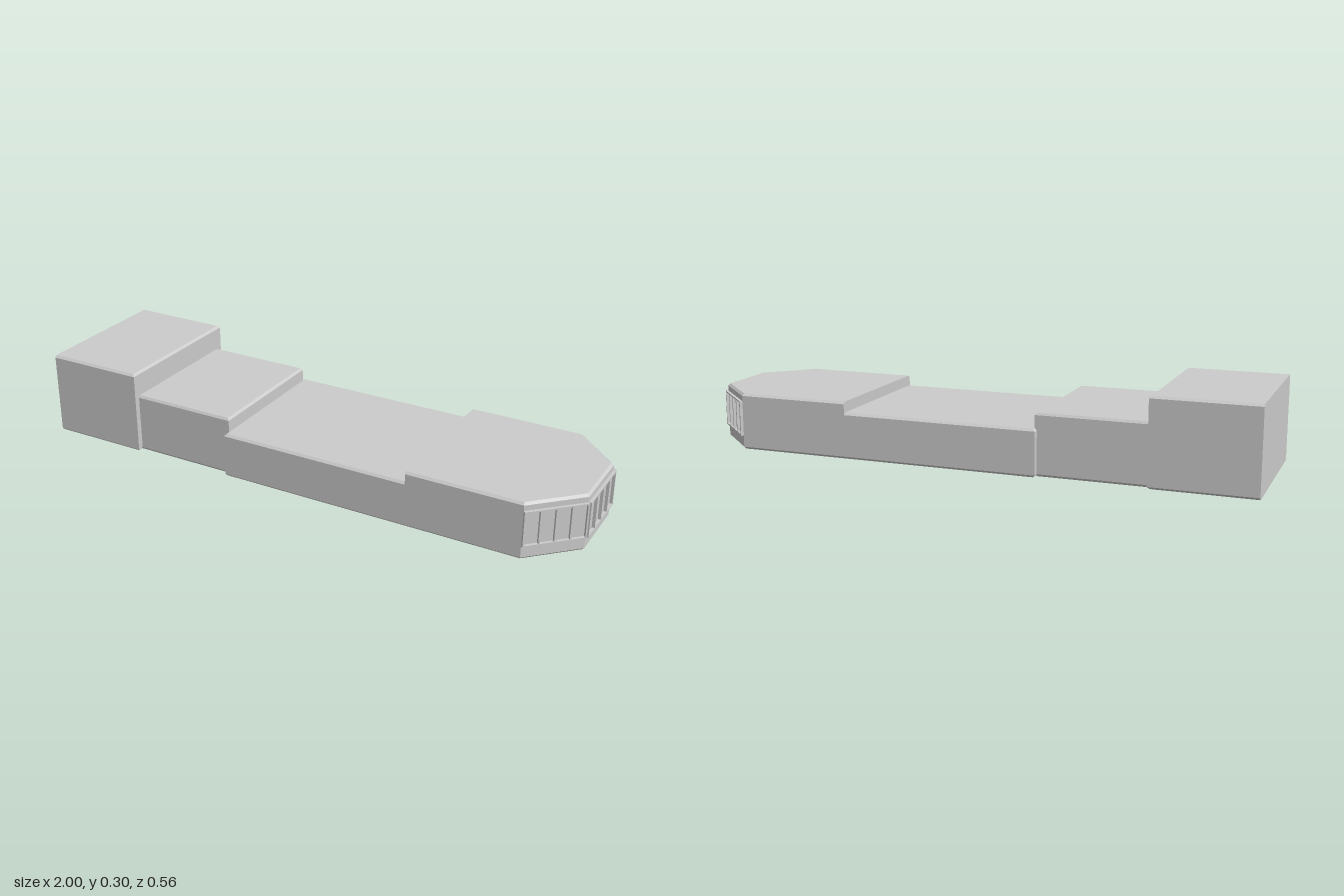
import * as THREE from 'three';

const material = new THREE.MeshStandardMaterial({ color: 0xcccccc, flatShading: true });

// Moves each edge of a convex plan outline [x, z] inward by its own distance.
function insetOutline(points, insets) {
  const n = points.length;
  const lines = points.map((p, i) => {
    const q = points[(i + 1) % n];
    const length = Math.hypot(q[0] - p[0], q[1] - p[1]);
    const nx = -(q[1] - p[1]) / length, nz = (q[0] - p[0]) / length;
    return { nx, nz, d: nx * p[0] + nz * p[1] - insets[i] };
  });
  return lines.map((b, i) => {
    const a = lines[(i + n - 1) % n];
    const det = a.nx * b.nz - a.nz * b.nx;
    return [(a.d * b.nz - b.d * a.nz) / det, (a.nx * b.d - b.nx * a.d) / det];
  });
}

// Upright block with chamfered top and bottom rims; an inset of 0 leaves that side square.
function chamferedBlock(name, outline, insets, height, chamfer) {
  const inner = insetOutline(outline, insets);
  const rings = [[inner, 0], [outline, chamfer], [outline, height - chamfer], [inner, height]];
  const n = outline.length, positions = [], indices = [];
  for (const [ring, y] of rings) for (const [x, z] of ring) positions.push(x, y, z);
  for (let r = 0; r < 3; r++) {
    for (let i = 0; i < n; i++) {
      const a = r * n + i, b = r * n + (i + 1) % n;
      indices.push(a, b, b + n, a, b + n, a + n);
    }
  }
  for (let i = 1; i < n - 1; i++) {
    indices.push(0, i + 1, i);
    indices.push(3 * n, 3 * n + i, 3 * n + i + 1);
  }
  const indexed = new THREE.BufferGeometry();
  indexed.setAttribute('position', new THREE.Float32BufferAttribute(positions, 3));
  indexed.setIndex(indices);
  const geometry = indexed.toNonIndexed();
  geometry.computeVertexNormals();
  const mesh = new THREE.Mesh(geometry, material);
  mesh.name = name;
  return mesh;
}

const rectangle = (x0, x1, z) => [[x0, z], [x1, z], [x1, -z], [x0, -z]];

// Window frame with four openings, standing proud of the wall from p to q.
function windowBand(name, p, q) {
  const length = Math.hypot(q[0] - p[0], q[1] - p[1]);
  const y0 = 0.049, y1 = 0.175, bar = 0.005, panes = 4;
  const frame = new THREE.Shape();
  frame.moveTo(0, y0).lineTo(length, y0).lineTo(length, y1).lineTo(0, y1).closePath();
  const pitch = (length - bar) / panes;
  for (let i = 0; i < panes; i++) {
    const a = bar + i * pitch, b = (i + 1) * pitch;
    const hole = new THREE.Path();
    hole.moveTo(a, y0 + bar).lineTo(a, y1 - bar).lineTo(b, y1 - bar).lineTo(b, y0 + bar).closePath();
    frame.holes.push(hole);
  }
  const geometry = new THREE.ExtrudeGeometry(frame, { depth: 0.01, bevelEnabled: false });
  const mesh = new THREE.Mesh(geometry, material);
  mesh.name = name;
  mesh.position.set(p[0], 0, p[1]);
  mesh.rotation.y = Math.atan2(-(q[1] - p[1]), q[0] - p[0]);
  return mesh;
}

export function createModel() {
  const model = new THREE.Group();
  model.name = 'building';
  const w = 0.271, c = 0.008;

  // Stepped blocks along the length
  model.add(chamferedBlock('tallEndBlock', rectangle(-1, -0.642, w), [c, c, c, 0], 0.303, c));
  model.add(chamferedBlock('linkBlock', rectangle(-0.65, -0.258, 0.25), [0.006, c, 0.006, 0], 0.215, c));
  model.add(chamferedBlock('longLowBlock', rectangle(-0.266, 0.44, w), [c, 0, c, c], 0.164, c));

  // Block with the angled nose
  const nose = [[0.43, w], [0.835, w], [0.99, 0.12], [0.99, -0.12], [0.835, -w], [0.43, -w]];
  model.add(chamferedBlock('noseBlock', nose, [c, c, c, c, c, 0], 0.202, c));

  // Window bands on the three nose walls
  const bands = new THREE.Group();
  bands.name = 'noseWindows';
  ['leftWindows', 'endWindows', 'rightWindows'].forEach((name, i) => {
    bands.add(windowBand(name, nose[i + 1], nose[i + 2]));
  });
  model.add(bands);
  return model;
}
